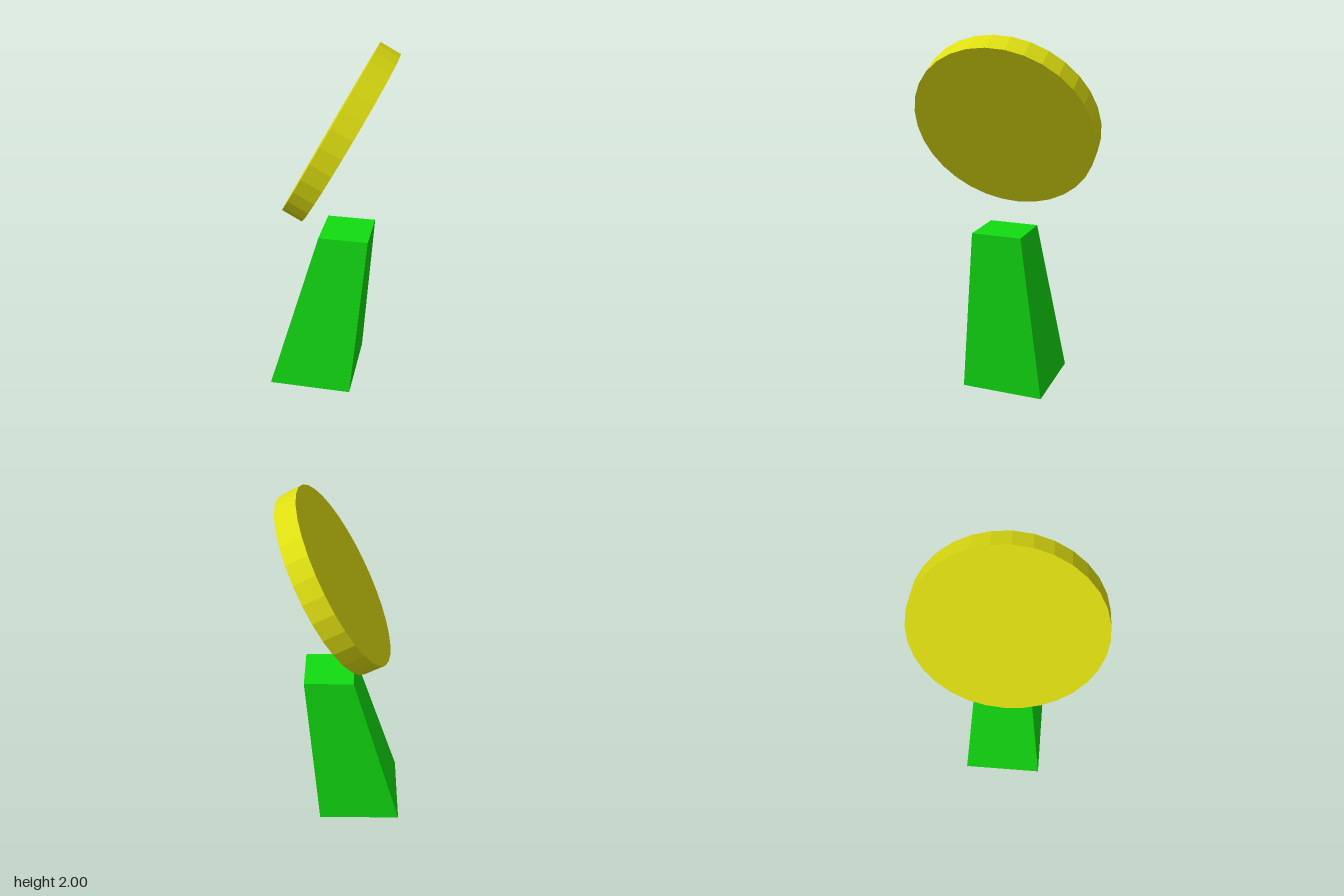
import * as THREE from 'three';

const flat = (color) => new THREE.MeshStandardMaterial({ color, flatShading: true });

// Box whose top and bottom rectangles have their own x and z limits
function skewedBlock(height, bottom, top) {
  const geo = new THREE.BoxGeometry(1, 1, 1);
  const p = geo.attributes.position;
  for (let i = 0; i < p.count; i++) {
    const r = p.getY(i) > 0 ? top : bottom;
    p.setXYZ(
      i,
      p.getX(i) > 0 ? r.x[1] : r.x[0],
      p.getY(i) > 0 ? height : 0,
      p.getZ(i) > 0 ? r.z[1] : r.z[0]
    );
  }
  geo.computeVertexNormals();
  return geo;
}

export function createModel() {
  const model = new THREE.Group();

  // Leaning, tapered pedestal
  const pedestal = new THREE.Mesh(
    skewedBlock(
      0.96,
      { x: [-0.335, 0.14], z: [-0.245, 0.228] },
      { x: [-0.058, 0.215], z: [-0.147, 0.13] }
    ),
    flat(0x11dd11)
  );
  pedestal.name = 'pedestal';
  model.add(pedestal);

  // Tilted disc floating above the pedestal
  const disc = new THREE.Mesh(new THREE.CylinderGeometry(0.503, 0.503, 0.119, 32), flat(0xdddd11));
  disc.name = 'disc';
  disc.position.set(0.038, 1.53, -0.001);
  disc.rotation.z = 1.07;
  model.add(disc);

  return model;
}
